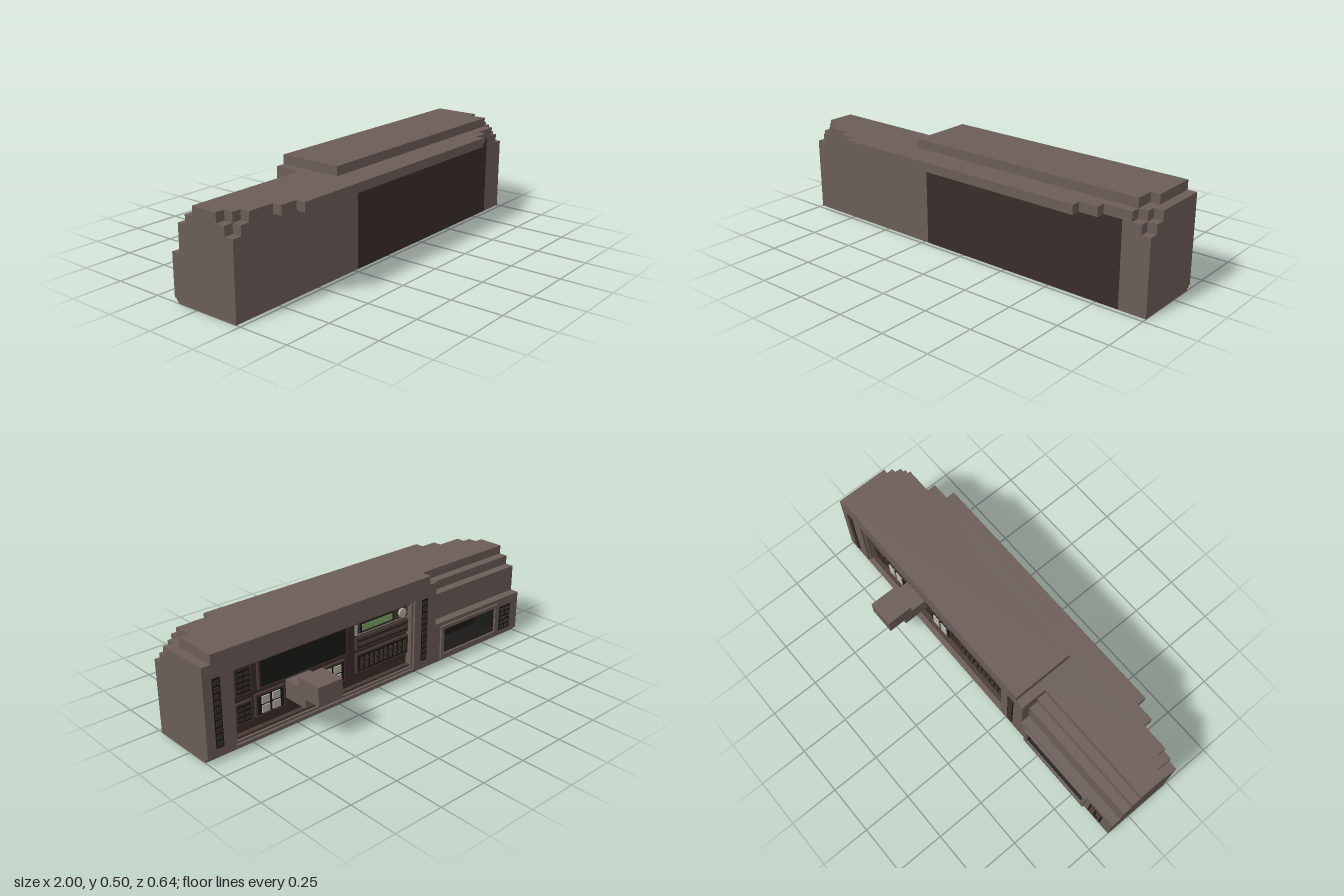
import * as THREE from 'three';

const mat = (color) => new THREE.MeshStandardMaterial({ color, flatShading: true });

export function createModel() {
  const model = new THREE.Group();
  const brown = mat(0x6b5d59), dark = mat(0x3a2d29), trim = mat(0x4a3a35), black = mat(0x1a1917);
  const grey = mat(0x8c8880), pale = mat(0xb4b2a2), green = mat(0x7fa565);
  const U = 1 / 22; // one step of the blocky grid
  const back = -3 * U, front = 5 * U, panelZ = -2 * U;

  const box = (name, x0, x1, y0, y1, z0, z1, material = brown) => {
    const m = new THREE.Mesh(new THREE.BoxGeometry(x1 - x0, y1 - y0, z1 - z0), material);
    m.position.set((x0 + x1) / 2, (y0 + y1) / 2, (z0 + z1) / 2);
    m.name = name;
    model.add(m);
    return m;
  };
  // Horizontal layer from an (x, z) outline
  const layer = (name, pts, y0, y1, material = brown) => {
    const shape = new THREE.Shape(pts.map(([x, z]) => new THREE.Vector2(x, -z)));
    const geo = new THREE.ExtrudeGeometry(shape, { depth: y1 - y0, bevelEnabled: false });
    geo.rotateX(-Math.PI / 2).translate(0, y0, 0);
    const m = new THREE.Mesh(geo, material);
    m.name = name;
    model.add(m);
  };

  // Dark core block, its rear face carries the instruments
  const xL = 19 * U, xR = -5 * U, xS = -8 * U;
  box('darkCore', xR, xL, 0, 9 * U, panelZ, front, dark);

  // Stepped foot along the rear edge
  const s = U / 4;
  for (let i = 0; i < 2; i++) {
    const z = back + (2 - i) * s;
    box('footStep', xL, 1, i * s, (i + 1) * s, z, front);
    box('footStep', -1, xR, i * s, (i + 1) * s, z, front);
    box('footStep', xR, xL, i * s, (i + 1) * s, z, panelZ);
  }

  // Left end pillar, with a stepped front corner
  box('leftPillar', xL, 1, 2 * s, 8 * U, back, front);
  layer('leftPillarTop', [[xL, back], [1, back], [1, 4 * U], [21 * U, 4 * U], [21 * U, front], [xL, front]], 8 * U, 9 * U);

  // Right section: low rear bay with a deep window, then terraces
  const wx0 = -0.81, wx1 = -0.42, wy0 = 0.055, wy1 = 0.19;
  box('rightBase', -1, xR, 2 * s, wy0, back, front);
  layer('windowBay', [[-1, back], [wx0, back], [wx0, 0], [wx1, 0], [wx1, back], [xR, back], [xR, front], [-1, front]], wy0, wy1);
  box('bayLintel', -1, xR, wy1, 5 * U, back, front);
  const terrace = (z, y0, y1) => layer('terrace', [[-1, z], [xS, z], [xS, back], [xR, back], [xR, front],
    [-21 * U, front], [-21 * U, y0 > 7.5 * U ? 4 * U : front], [-1, y0 > 7.5 * U ? 4 * U : front]], y0, y1);
  layer('terrace', [[-1, panelZ], [xS, panelZ], [xS, back], [xR, back], [xR, front], [-1, front]], 5 * U, 8 * U);
  terrace(-U, 8 * U, 9 * U);

  // Roof with front lip and stepped corners
  const edge = [[22, 3], [21, 3], [21, 4], [20, 4], [20, 5], [17, 5], [17, 6], [15, 6], [15, 7]].map(([x, z]) => [x * U, z * U]);
  const mirrored = edge.map(([x, z]) => [-x, z]).reverse();
  layer('roof', [[-1, 0], [xS, 0], [xS, back], [1, back], ...edge, ...mirrored], 9 * U, 10 * U);
  layer('roofSlab', [[-7 * U, back], [21 * U, back], [21 * U, 2 * U], [20 * U, 2 * U], [20 * U, 4 * U], [-7 * U, 4 * U]], 10 * U, 11 * U);

  // Stepped frame around the instrument recess
  for (let i = 0; i < 3; i++) {
    const z = back + i * s, a = i * s, b = a + s;
    box('recessSill', xR, xL, 2 * s + a, 2 * s + b, z, panelZ, i === 2 ? trim : brown);
    box('recessHead', xR, xL, 9 * U - b, 9 * U - a, z, panelZ, i === 2 ? trim : brown);
    if (i < 2) {
      box('recessJamb', xL - b, xL - a, 2 * s, 9 * U, z, panelZ);
      box('recessJamb', xR + a, xR + b, 2 * s, 9 * U, z, panelZ);
    }
  }

  // Vertical strips of studs on both pillars
  for (const x of [0.935, -0.283]) {
    box('studStrip', x - 0.02, x + 0.02, 0.06, 0.39, back - 0.001, back + 0.01, black);
    for (let i = 0; i < 10; i++) {
      const y = 0.07 + i * 0.032;
      box('stud', x - 0.014, x + 0.014, y, y + 0.02, back - 0.005, back, dark);
    }
  }

  // Window surround and dark lining
  const wz = back - s;
  box('windowFrame', -0.83, -0.4, wy1, wy1 + 0.018, wz, back);
  box('windowFrame', -0.83, -0.4, wy0 - 0.02, wy0, wz, back);
  box('windowFrame', -0.83, wx0, wy0, wy1, wz, back);
  box('windowFrame', wx1, -0.4, wy0, wy1, wz, back);
  box('windowBack', wx0, wx1, wy0, wy1, -0.01, 0.005, black);
  box('windowLining', wx0, wx1, wy0, wy0 + 0.004, back, 0, black);
  box('windowLining', wx0, wx1, wy1 - 0.004, wy1, back, 0, black);
  box('windowLining', wx0, wx0 + 0.004, wy0, wy1, back, 0, black);
  box('windowLining', wx1 - 0.004, wx1, wy0, wy1, back, 0, black);

  // Vent beside the window
  box('vent', -0.94, -0.855, 0.045, 0.18, back - 0.001, back + 0.01, black);
  for (let i = 0; i < 5; i++) {
    const y = 0.055 + i * 0.025;
    for (const x of [-0.93, -0.893]) box('ventSlat', x, x + 0.028, y, y + 0.013, back - 0.004, back, trim);
  }
  box('ventKnob', -0.92, -0.905, 0.1, 0.115, back - 0.01, back, black);

  // Framed plate standing on the instrument panel
  const plate = (name, x0, x1, y0, y1, frameMat, faceMat) => {
    box(name + 'Frame', x0, x1, y0, y1, panelZ - 0.012, panelZ, frameMat);
    box(name, x0 + 0.01, x1 - 0.01, y0 + 0.01, y1 - 0.01, panelZ - 0.014, panelZ, faceMat);
  };
  const pz = panelZ - 0.014;

  // Screen and speakers
  plate('screen', 0.19, 0.7, 0.235, 0.385, trim, black);
  for (const [y0, y1] of [[0.24, 0.385], [0.1, 0.205]]) {
    plate('speaker', 0.735, 0.825, y0, y1, trim, black);
    for (let y = y0 + 0.02; y < y1 - 0.02; y += 0.025) {
      for (const x of [0.75, 0.785]) box('speakerSlat', x, x + 0.025, y, y + 0.012, pz - 0.004, pz, dark);
    }
  }

  // Pale push buttons, two by two
  for (const x of [0.64, 0.285]) {
    plate('buttonBox', x - 0.08, x + 0.08, 0.105, 0.215, trim, black);
    for (const dx of [-0.05, 0.008]) for (const y of [0.12, 0.165]) {
      box('pushButton', x + dx, x + dx + 0.042, y, y + 0.036, pz - 0.006, pz, pale);
    }
  }

  // Green display with a dial
  plate('display', -0.205, 0.135, 0.31, 0.385, grey, trim);
  box('displayGlass', -0.1, 0.115, 0.325, 0.37, pz - 0.003, pz, black);
  box('displayLight', -0.09, 0.105, 0.331, 0.364, pz - 0.005, pz, green);
  const dial = new THREE.Mesh(new THREE.CylinderGeometry(0.024, 0.024, 0.012, 8), pale);
  dial.rotation.x = Math.PI / 2;
  dial.position.set(-0.155, 0.3475, pz - 0.005);
  dial.name = 'dial';
  model.add(dial);

  // Rack units
  for (const y of [0.235, 0.268]) {
    plate('drawer', -0.205, 0.135, y, y + 0.03, trim, black);
    box('drawerLip', -0.19, 0.12, y + 0.018, y + 0.024, pz - 0.006, pz, dark);
  }
  plate('sliderBank', -0.205, 0.135, 0.115, 0.215, trim, black);
  for (let i = 0; i < 10; i++) {
    const x = -0.185 + i * 0.031;
    box('slider', x, x + 0.016, 0.135, 0.195, pz - 0.004, pz, trim);
    const y = 0.14 + ((i * 3) % 5) * 0.009;
    box('sliderCap', x - 0.002, x + 0.018, y, y + 0.01, pz - 0.008, pz, dark);
  }

  // Stepped bracket jutting from the rear
  box('bracketArm', 9 * U, 12 * U, 3 * U, 5 * U, -5 * U, panelZ);
  box('bracketHead', 9 * U, 12 * U, 4 * U, 6 * U, -7 * U, -4 * U);

  return model;
}
